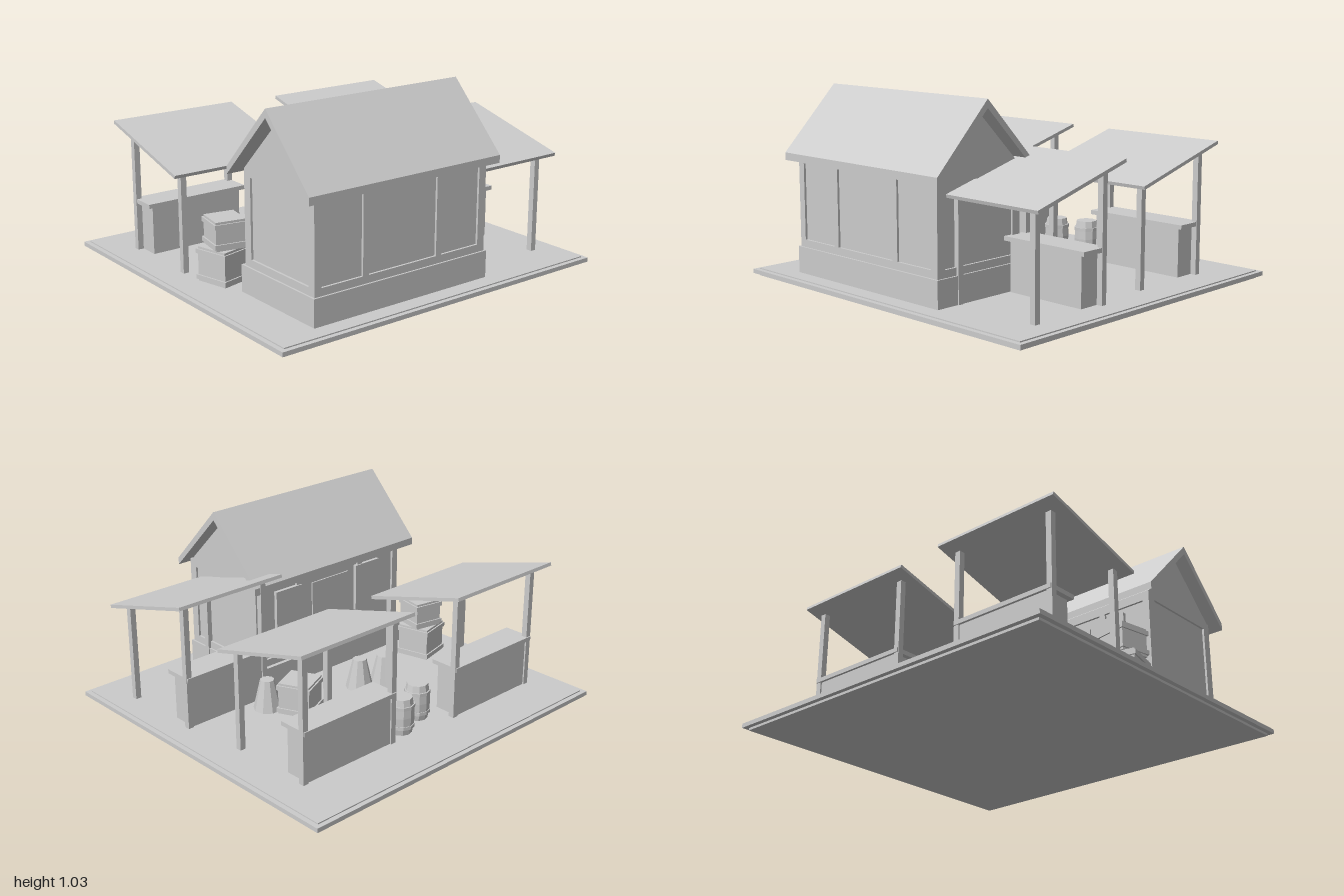
import * as THREE from 'three';

const grey = new THREE.MeshStandardMaterial({ color: 0xcccccc, flatShading: true });
grey.name = 'plainGrey';

function add(parent, name, geometry, x = 0, y = 0, z = 0) {
  const mesh = new THREE.Mesh(geometry, grey);
  mesh.name = name;
  mesh.position.set(x, y, z);
  parent.add(mesh);
  return mesh;
}

// Box given by its low and high corners
function block(parent, name, [x0, x1], [y0, y1], [z0, z1]) {
  return add(parent, name, new THREE.BoxGeometry(x1 - x0, y1 - y0, z1 - z0),
    (x0 + x1) / 2, (y0 + y1) / 2, (z0 + z1) / 2);
}

// A profile in (z, y), extruded along x from x0 to x1
function prism(parent, name, points, x0, x1, z) {
  const shape = new THREE.Shape(points.map(p => new THREE.Vector2(...p)));
  const geo = new THREE.ExtrudeGeometry(shape, { depth: x1 - x0, bevelEnabled: false });
  geo.rotateY(-Math.PI / 2);
  return add(parent, name, geo, x1, 0, z);
}

function group(parent, name, x = 0, z = 0, turn = 0) {
  const g = new THREE.Group();
  g.name = name;
  g.position.set(x, 0, z);
  g.rotation.y = turn;
  parent.add(g);
  return g;
}

function buildHouse(root) {
  const house = group(root, 'house');
  block(house, 'plinth', [-0.74, 0.35], [0.04, 0.185], [0.235, 0.825]);
  block(house, 'wallCore', [-0.718, 0.328], [0.18, 0.678], [0.27, 0.803]);

  // Timber frame on the long walls
  for (const [z0, z1] of [[0.795, 0.815], [0.257, 0.277]]) {
    for (const [a, b] of [[-0.73, -0.69], [-0.445, -0.41], [0.015, 0.05], [0.295, 0.34]])
      block(house, 'wallPost', [a, b], [0.18, 0.68], [z0, z1]);
    for (const y of [[0.18, 0.225], [0.632, 0.68]])
      block(house, 'wallRail', [-0.73, 0.34], y, [z0, z1]);
  }
  // Timber frame on the gable walls
  for (const x of [[-0.73, -0.71], [0.32, 0.34]]) {
    for (const z of [[0.257, 0.307], [0.768, 0.815]])
      block(house, 'gablePost', x, [0.18, 0.68], z);
    for (const y of [[0.18, 0.225], [0.64, 0.68]])
      block(house, 'gableRail', x, y, [0.257, 0.815]);
  }
  // Shutters on the back wall
  for (const x of [-0.48, 0.11])
    block(house, 'shutter', [x - 0.09, x + 0.09], [0.33, 0.6], [0.25, 0.272]);
  block(house, 'backPanel', [-0.34, -0.07], [0.3, 0.58], [0.262, 0.272]);

  prism(house, 'gable', [[-0.27, 0.68], [0.27, 0.68], [0, 0.95]], -0.73, 0.34, 0.53);
  prism(house, 'roof', [[-0.33, 0.645], [0, 0.982], [0.33, 0.645],
    [0.33, 0.685], [0, 1.027], [-0.33, 0.685]], -0.79, 0.39, 0.528);
}

// Market stall with four posts, a lean-to roof and a counter under the high edge
function buildStall(root, x, z, width, postX) {
  const stall = group(root, 'stall', x, z);
  const roof = add(stall, 'stallRoof', new THREE.BoxGeometry(width, 0.018, 0.632), 0, 0.661, 0);
  roof.rotation.x = 0.268;
  for (const side of [-1, 1]) {
    const px = side * postX;
    block(stall, 'lowPost', [px - 0.016, px + 0.016], [0.04, 0.587], [0.222, 0.254]);
    block(stall, 'highPost', [px - 0.016, px + 0.016], [0.04, 0.705], [-0.246, -0.214]);
  }
  block(stall, 'counter', [-postX + 0.016, postX - 0.016], [0.04, 0.305], [-0.238, -0.1]);
  block(stall, 'counterTop', [-postX - 0.012, postX + 0.012], [0.303, 0.326], [-0.252, -0.085]);
}

function buildCrate(root, x, z, y, size, height, turn) {
  const crate = group(root, 'crate', x, z, turn);
  const h = size / 2;
  block(crate, 'crateBody', [-h + 0.008, h - 0.008], [y, y + height], [-h + 0.008, h - 0.008]);
  // Slats around the top and bottom
  for (const b of [y + 0.012, y + height - 0.036])
    block(crate, 'crateBand', [-h, h], [b, b + 0.024], [-h, h]);
}

function buildBarrel(root, x, z) {
  const barrel = group(root, 'barrel', x, z);
  const profile = [[0, 0.04], [0.056, 0.04], [0.066, 0.095], [0.068, 0.14], [0.066, 0.185],
    [0.056, 0.24], [0, 0.24]].map(p => new THREE.Vector2(...p));
  add(barrel, 'barrelBody', new THREE.LatheGeometry(profile, 10));
  for (const y of [0.085, 0.195])
    add(barrel, 'barrelHoop', new THREE.CylinderGeometry(0.07, 0.07, 0.018, 10), 0, y, 0);
}

export function createModel() {
  const root = new THREE.Group();
  root.name = 'marketYard';

  // Ground slab with a projecting rim
  block(root, 'ground', [-0.975, 0.975], [0, 0.042], [-0.915, 0.915]);
  block(root, 'groundRim', [-1, 1], [0.013, 0.036], [-0.94, 0.94]);

  buildHouse(root);
  buildStall(root, 0.59, 0.44, 0.66, 0.25);
  buildStall(root, -0.53, -0.41, 0.74, 0.29);
  buildStall(root, 0.495, -0.385, 0.735, 0.295);

  buildCrate(root, -0.715, 0.04, 0.04, 0.2, 0.185, 0.24);
  buildCrate(root, -0.71, 0.045, 0.225, 0.178, 0.152, -0.18);
  buildCrate(root, 0.29, -0.03, 0.04, 0.19, 0.178, 0.44);

  buildBarrel(root, -0.1, -0.51);
  buildBarrel(root, 0.075, -0.565);

  // Tapered sacks
  for (const [x, z] of [[-0.13, -0.05], [-0.26, -0.105], [0.405, 0.1]])
    add(root, 'sack', new THREE.CylinderGeometry(0.038, 0.077, 0.17, 9), x, 0.125, z);

  return root;
}
